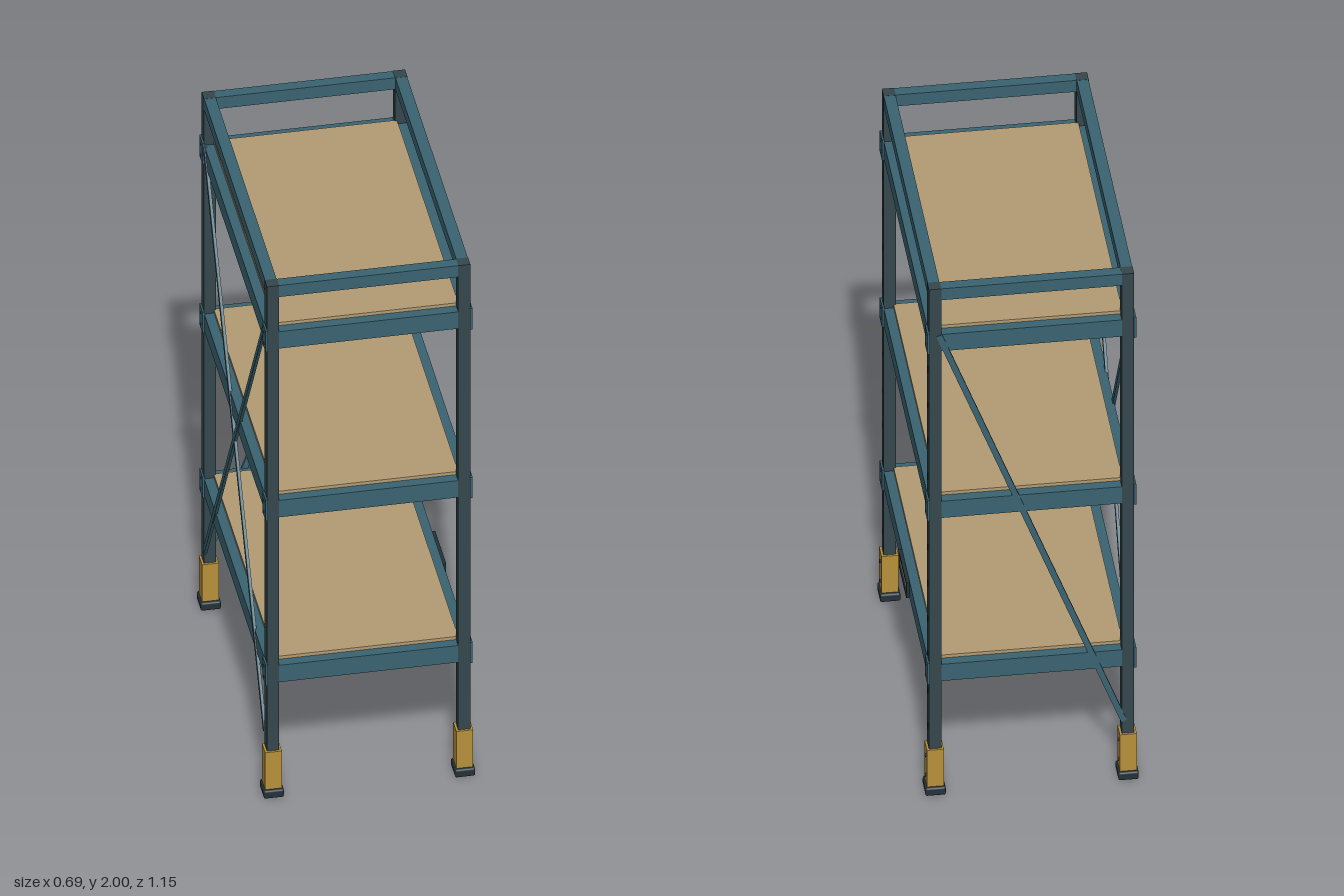
import * as THREE from 'three';
import { RoundedBoxGeometry } from 'three/addons/geometries/RoundedBoxGeometry.js';

const mat = (name, color) => {
  const m = new THREE.MeshStandardMaterial({ color });
  m.name = name;
  return m;
};

export function createModel() {
  const teal = mat('teal paint', 0x3b6472);
  const slate = mat('slate steel', 0x34474c);
  const wood = mat('shelf board', 0xb39c74);
  const yellow = mat('yellow sleeve', 0xb8923a);
  const rubber = mat('dark rubber', 0x253239);

  const rack = new THREE.Group();
  rack.name = 'shelvingRack';
  const PX = 0.313, PZ = 0.535, T = 0.04; // post centres and thickness

  const add = (name, geo, material, x, y, z) => {
    const m = new THREE.Mesh(geo, material);
    m.name = name;
    m.position.set(x, y, z);
    rack.add(m);
    return m;
  };
  const box = (name, material, w, h, d, x, y, z) =>
    add(name, new THREE.BoxGeometry(w, h, d), material, x, y, z);
  // Short bolt head facing +x or -x
  const bolt = (name, material, r, x, y, z) => {
    add(name, new THREE.CylinderGeometry(r, r, 0.006, 10), material, x, y, z).rotation.z = Math.PI / 2;
  };

  const levels = [0.474, 1.122, 1.785]; // beam centre heights

  // Posts with feet
  for (const sx of [-1, 1]) for (const sz of [-1, 1]) {
    const x = sx * PX, z = sz * PZ;
    box('post', slate, T, 1.97, T, x, 1.015, z);
    box('footSleeve', yellow, 0.055, 0.145, 0.055, x, 0.103, z);
    add('footPad', new RoundedBoxGeometry(0.066, 0.03, 0.076, 2, 0.006), rubber, x, 0.015, z);
    for (const y of [0.06, 0.138]) bolt('sleeveBolt', rubber, 0.006, x + 0.028, y, z);
    // Bracket plates joining beams to posts
    for (const y of levels) {
      box('bracket', teal, 0.008, 0.082, 0.052, sx * (PX + 0.022), y + 0.004, z);
      for (const dy of [-0.022, 0.022])
        bolt('bracketBolt', teal, 0.005, sx * (PX + 0.025), y + 0.004 + dy, z);
    }
  }

  // Adjustment slots on the outer faces of the right-hand posts
  for (const sz of [-1, 1]) for (let i = 0; i < 11; i++)
    box('postSlot', rubber, 0.004, 0.018, 0.01, PX + 0.02, 0.255 + i * 0.1415, sz * PZ);

  // A rectangular ring of four beams between the posts
  const ring = (name, y, h) => {
    for (const s of [-1, 1]) {
      box(name + 'Long', teal, T - 0.002, h, 2 * PZ - T, s * PX, y, 0);
      box(name + 'Short', teal, 2 * PX - T, h, T - 0.002, 0, y, s * PZ);
    }
  };
  ring('topRail', 1.977, 0.045);

  // Shelves
  for (const y of levels) {
    ring('shelfBeam', y, 0.066);
    box('shelfBoard', wood, 0.6, 0.02, 1.04, 0, y + 0.035, 0);
  }

  // Flat diagonal braces: crossed pair on one long side, single one at the back
  const braceLen = (run) => Math.hypot(run, 1.59);
  for (const s of [-1, 1]) {
    const b = box('sideBrace', teal, 0.01, braceLen(1.02), 0.02, -PX - 0.018, 1.02, 0);
    b.rotation.x = s * Math.atan2(1.02, 1.59);
  }
  const back = box('backBrace', teal, 0.02, braceLen(0.6), 0.01, 0, 1.02, -PZ - 0.017);
  back.rotation.z = -Math.atan2(0.6, 1.59);

  // Label holder on the lowest right-hand beam
  const fx = PX + 0.024;
  for (const s of [-1, 1]) {
    box('labelFrame', rubber, 0.012, 0.01, 0.186, fx, levels[0] + s * 0.025, 0);
    box('labelFrame', rubber, 0.012, 0.06, 0.01, fx, levels[0], s * 0.088);
  }
  box('labelCard', wood, 0.008, 0.042, 0.168, PX + 0.022, levels[0], 0);

  return rack;
}
